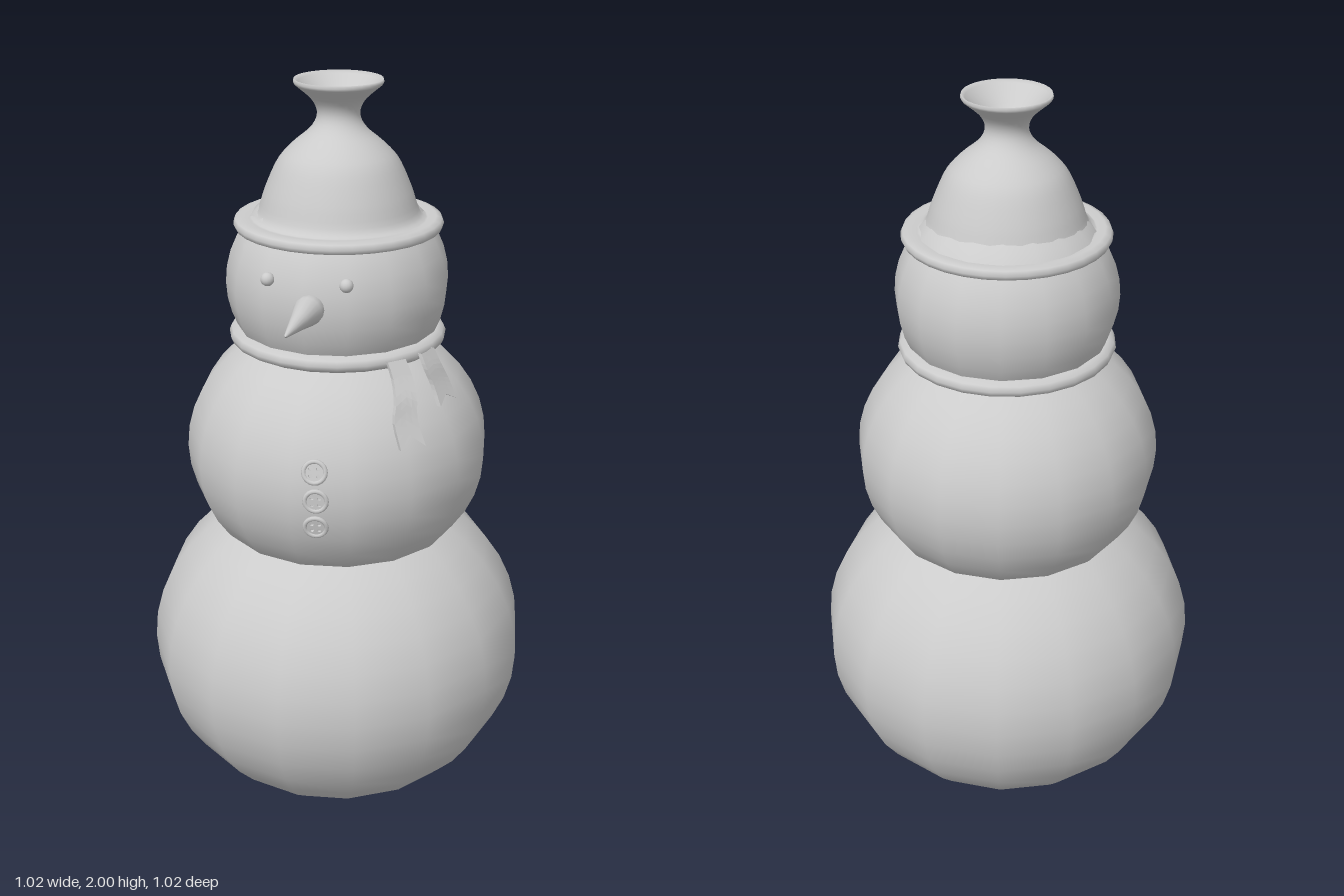
import * as THREE from 'three';

const material = new THREE.MeshStandardMaterial({ color: 0xcccccc });
const thinMaterial = new THREE.MeshStandardMaterial({ color: 0xcccccc, side: THREE.DoubleSide });

function add(parent, name, geometry, x = 0, y = 0, z = 0, mat = material) {
  const mesh = new THREE.Mesh(geometry, mat);
  mesh.name = name;
  mesh.position.set(x, y, z);
  parent.add(mesh);
  return mesh;
}

// Slightly flattened snowball with sixteen sides
function snowball(parent, name, radius, halfHeight, y) {
  const ball = add(parent, name, new THREE.SphereGeometry(radius, 16, 20), 0, y, 0);
  ball.scale.y = halfHeight / radius;
  ball.rotation.y = -0.04;
}

// Hanging ribbon with a swallowtail end, swept along a path
function ribbon(path, width, thickness) {
  const curve = new THREE.CatmullRomCurve3(path.map((p) => new THREE.Vector3(...p)));
  const steps = 10, across = 4, positions = [], indices = [];
  for (const side of [1, -1]) {
    for (let i = 0; i <= steps; i++) {
      for (let j = 0; j <= across; j++) {
        const s = j / across - 0.5;
        // the middle of the end is cut short to form the notch
        const t = (i / steps) * (0.84 + 0.32 * Math.abs(s));
        const p = curve.getPointAt(t);
        const out = new THREE.Vector3(p.x, 0, p.z).normalize();
        const tangent = new THREE.Vector3(out.z, 0, -out.x);
        p.addScaledVector(tangent, s * width * (0.8 + 0.3 * t));
        p.addScaledVector(out, (side * thickness) / 2);
        positions.push(p.x, p.y, p.z);
      }
    }
  }
  const row = across + 1, layer = (steps + 1) * row;
  const quad = (a, b, c, d) => indices.push(a, b, c, a, c, d);
  for (let i = 0; i < steps; i++) {
    for (let j = 0; j < across; j++) {
      const a = i * row + j;
      quad(a, a + row, a + row + 1, a + 1);
      quad(layer + a, layer + a + 1, layer + a + row + 1, layer + a + row);
    }
    const l = i * row, r = l + across;
    quad(l, layer + l, layer + l + row, l + row);
    quad(r, r + row, layer + r + row, layer + r);
  }
  for (let j = 0; j < across; j++) {
    const e = steps * row + j;
    quad(e, layer + e, layer + e + 1, e + 1);
  }
  const geometry = new THREE.BufferGeometry();
  geometry.setAttribute('position', new THREE.Float32BufferAttribute(positions, 3));
  geometry.setIndex(indices);
  const flat = geometry.toNonIndexed();
  flat.computeVertexNormals();
  return flat;
}

// Round button with four thread holes and a raised rim
function button(parent, x, y, z, tilt) {
  const group = new THREE.Group();
  group.name = 'button';
  group.position.set(x, y, z);
  group.rotation.set(tilt, 0.16, 0, 'YXZ');
  const disc = new THREE.Shape().absarc(0, 0, 0.03, 0, Math.PI * 2);
  for (const sx of [-1, 1]) {
    for (const sy of [-1, 1]) {
      disc.holes.push(new THREE.Path().absarc(sx * 0.009, sy * 0.009, 0.005, 0, Math.PI * 2, true));
    }
  }
  add(group, 'buttonDisc', new THREE.ExtrudeGeometry(disc, { depth: 0.008, bevelEnabled: false, curveSegments: 10 }), 0, 0, -0.003);
  add(group, 'buttonRim', new THREE.TorusGeometry(0.027, 0.006, 8, 20), 0, 0, 0.003);
  parent.add(group);
}

export function createModel() {
  const model = new THREE.Group();
  model.name = 'snowman';

  // Body
  snowball(model, 'lowerBody', 0.51, 0.46, 0.46);
  snowball(model, 'upperBody', 0.398, 0.355, 1.04);
  snowball(model, 'head', 0.285, 0.27, 1.49);

  // Face
  for (const x of [-0.105, 0.092]) add(model, 'eye', new THREE.SphereGeometry(0.017, 14, 10), x, 1.56, 0.257);
  const noseProfile = [[0, -0.03], [0.037, -0.03], [0.036, 0.03], [0.022, 0.1], [0.012, 0.16], [0.004, 0.205], [0, 0.21]]
    .map(([r, h]) => new THREE.Vector2(r, h));
  const nose = add(model, 'nose', new THREE.LatheGeometry(noseProfile, 16), 0.006, 1.5, 0.266);
  nose.rotation.x = Math.PI / 2;

  // Hat: rolled brim, bell-shaped crown and open flared tip
  const brim = [[0.225, 1.64], [0.245, 1.632], [0.259, 1.636], [0.264, 1.647], [0.259, 1.659], [0.245, 1.664], [0.223, 1.66]];
  const crown = new THREE.SplineCurve([[0.223, 1.66], [0.203, 1.675], [0.184, 1.73], [0.152, 1.8], [0.117, 1.84], [0.07, 1.88],
    [0.053, 1.915], [0.066, 1.95], [0.108, 1.987]].map(([r, y]) => new THREE.Vector2(r, y)));
  const tip = [[0.111, 1.993], [0.109, 2], [0.1, 1.993], [0.06, 1.955], [0.035, 1.93], [0, 1.92]];
  const vectors = (list) => list.map(([r, y]) => new THREE.Vector2(r, y));
  const hatProfile = [...vectors(brim), ...crown.getPoints(28).slice(1), ...vectors(tip)];
  add(model, 'hat', new THREE.LatheGeometry(hatProfile, 32), 0.006, 0, 0.013, thinMaterial);

  // Scarf loop and its two hanging ends
  const loop = new THREE.TorusGeometry(0.25, 0.03, 10, 24).rotateX(Math.PI / 2);
  add(model, 'scarfLoop', loop, 0, 1.354, 0).scale.y = 0.75;
  const frontEnd = [[0.2, 1.36, 0.195], [0.218, 1.325, 0.207], [0.236, 1.275, 0.235], [0.24, 1.23, 0.255], [0.264, 1.165, 0.272]];
  const sideEnd = [[0.258, 1.36, 0.11], [0.275, 1.325, 0.115], [0.293, 1.285, 0.111], [0.317, 1.232, 0.12]];
  add(model, 'scarfFrontEnd', ribbon(frontEnd, 0.064, 0.012), 0, 0, 0, thinMaterial);
  add(model, 'scarfSideEnd', ribbon(sideEnd, 0.068, 0.012), 0, 0, 0, thinMaterial);

  // Buttons
  button(model, 0.045, 1.12, 0.378, -0.25);
  button(model, 0.05, 1.047, 0.387, 0);
  button(model, 0.048, 0.974, 0.381, 0.2);

  return model;
}
